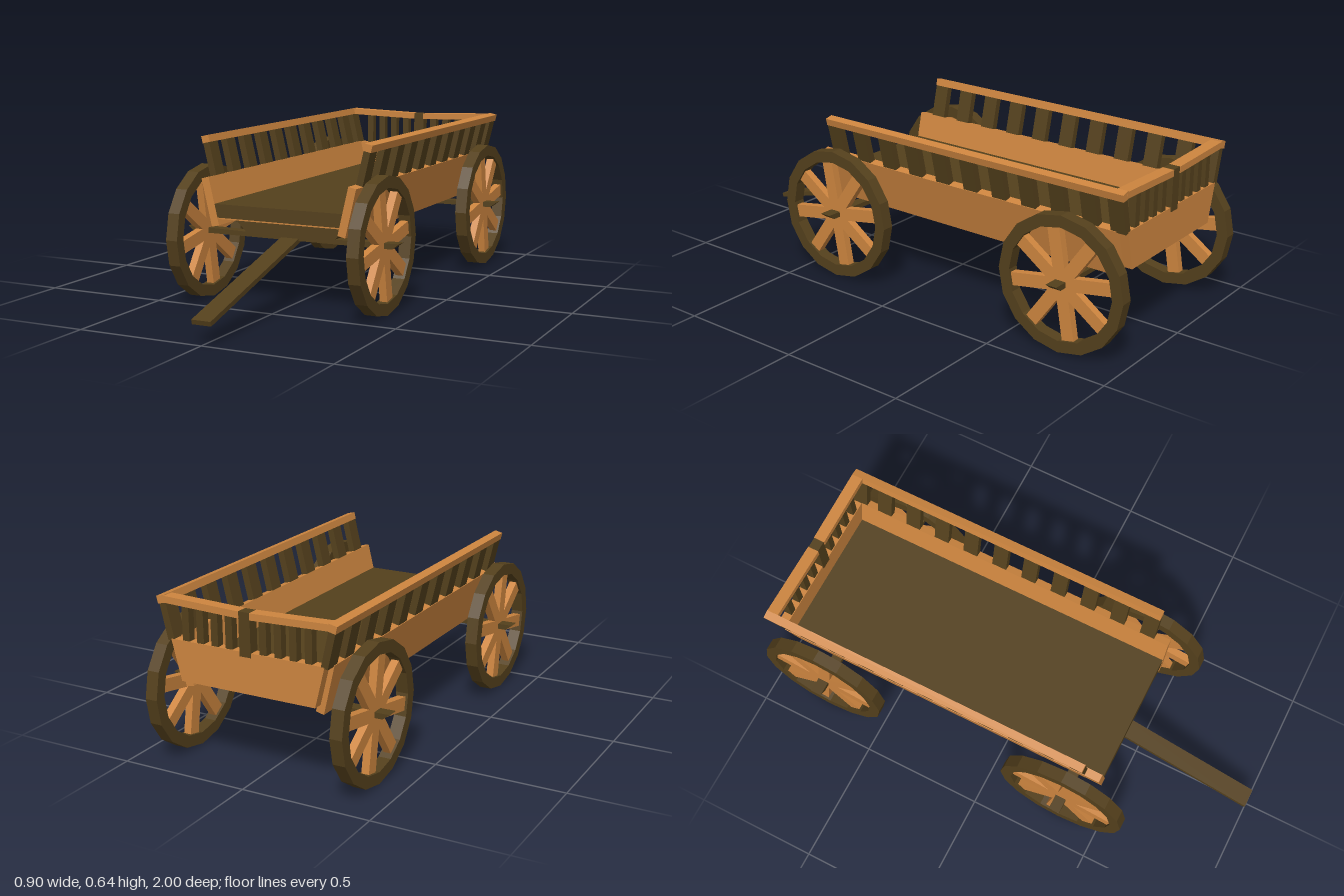
import * as THREE from 'three';

const light = new THREE.MeshStandardMaterial({ color: 0xcd853f, flatShading: true });
const dark = new THREE.MeshStandardMaterial({ color: 0x54401c, flatShading: true });

function add(parent, name, geometry, material, x = 0, y = 0, z = 0) {
  const mesh = new THREE.Mesh(geometry, material);
  mesh.name = name;
  mesh.position.set(x, y, z);
  parent.add(mesh);
  return mesh;
}

const box = (w, h, d) => new THREE.BoxGeometry(w, h, d);

// Outline in the x-y plane, extruded along z about its own middle
function plate(points, depth) {
  const shape = new THREE.Shape(points.map(([x, y]) => new THREE.Vector2(x, y)));
  return new THREE.ExtrudeGeometry(shape, { depth, bevelEnabled: false }).translate(0, 0, -depth / 2);
}

// Right half of an outline, mirrored to the left
const symmetric = (half) => [...half, ...half.slice().reverse().map(([x, y]) => [-x, y])];

function makeWheel() {
  const wheel = new THREE.Group();
  wheel.name = 'wheel';
  const R = 0.262, r = 0.217, h = 0.024;
  const profile = [[r, -h], [R, -h], [R, h], [r, h], [r, -h]].map(([x, y]) => new THREE.Vector2(x, y));
  const rim = add(wheel, 'rim', new THREE.LatheGeometry(profile, 16), dark);
  rim.rotation.z = Math.PI / 2;
  for (let i = 0; i < 8; i++) {
    const geometry = box(0.03, 0.225, 0.05).translate(0, 0.1125, 0);
    add(wheel, 'spoke', geometry, light).rotation.x = THREE.MathUtils.degToRad(10 + 45 * i);
  }
  return wheel;
}

// Leaning side wall: board, slats and top rail stacked along its own y
function makeSide(side) {
  const wall = new THREE.Group();
  wall.name = side > 0 ? 'leftSide' : 'rightSide';
  wall.position.set(side * 0.265, 0.305, 0);
  wall.rotation.z = -side * 0.232;
  add(wall, 'sideBoard', box(0.032, 0.188, 1.372), light, 0, 0.094, -0.228);
  for (let i = 0; i < 11; i++) {
    const z = 0.366 - 0.1306 * i;
    add(wall, 'sideSlat', box(0.027, 0.14, 0.062), dark, 0, 0.253, Math.max(z, -0.922));
  }
  add(wall, 'sideRail', box(0.032, 0.028, 1.355), light, 0, 0.331, -0.28);
  return wall;
}

export function createModel() {
  const cart = new THREE.Group();
  cart.name = 'cart';

  // Floor with a lighter plank underneath
  add(cart, 'floor', box(0.54, 0.052, 1.37), dark, 0, 0.364, -0.228);
  add(cart, 'floorUnderside', box(0.525, 0.006, 1.36), light, 0, 0.335, -0.228);

  for (const side of [1, -1]) cart.add(makeSide(side));

  // Back wall
  const backZ = -0.935;
  add(cart, 'backBoard', plate(symmetric([[0.27, 0.337], [0.308, 0.488]]), 0.036), light, 0, 0, backZ);
  add(cart, 'backPost', box(0.045, 0.16, 0.042), dark, 0, 0.552, backZ);
  for (const side of [1, -1]) {
    for (const x of [0.068, 0.127, 0.186, 0.246]) {
      add(cart, 'backSlat', box(0.028, 0.14, 0.03), dark, side * x, 0.55, backZ);
    }
    const rail = [[0.022, 0.607], [0.335, 0.617], [0.335, 0.642], [0.022, 0.632]];
    add(cart, 'backRail', plate(rail.map(([x, y]) => [side * x, y]), 0.046), light, 0, 0, backZ);
  }

  // Axles with their bolsters, and the wheels
  const axle = symmetric([
    [0, 0.25], [0.42, 0.255], [0.45, 0.277], [0.19, 0.273], [0.255, 0.338],
  ].slice(1));
  for (const z of [0.335, -0.738]) {
    add(cart, 'axle', plate(axle, 0.044), dark, 0, 0, z);
    for (const side of [1, -1]) {
      const wheel = makeWheel();
      wheel.position.set(side * 0.374, 0.262, z);
      cart.add(wheel);
    }
  }

  // Drawbar sloping down to the front
  const bar = add(cart, 'drawbar', box(0.076, 0.018, 0.69), dark, 0, 0.17, 0.665);
  bar.rotation.x = 0.267;

  return cart;
}
